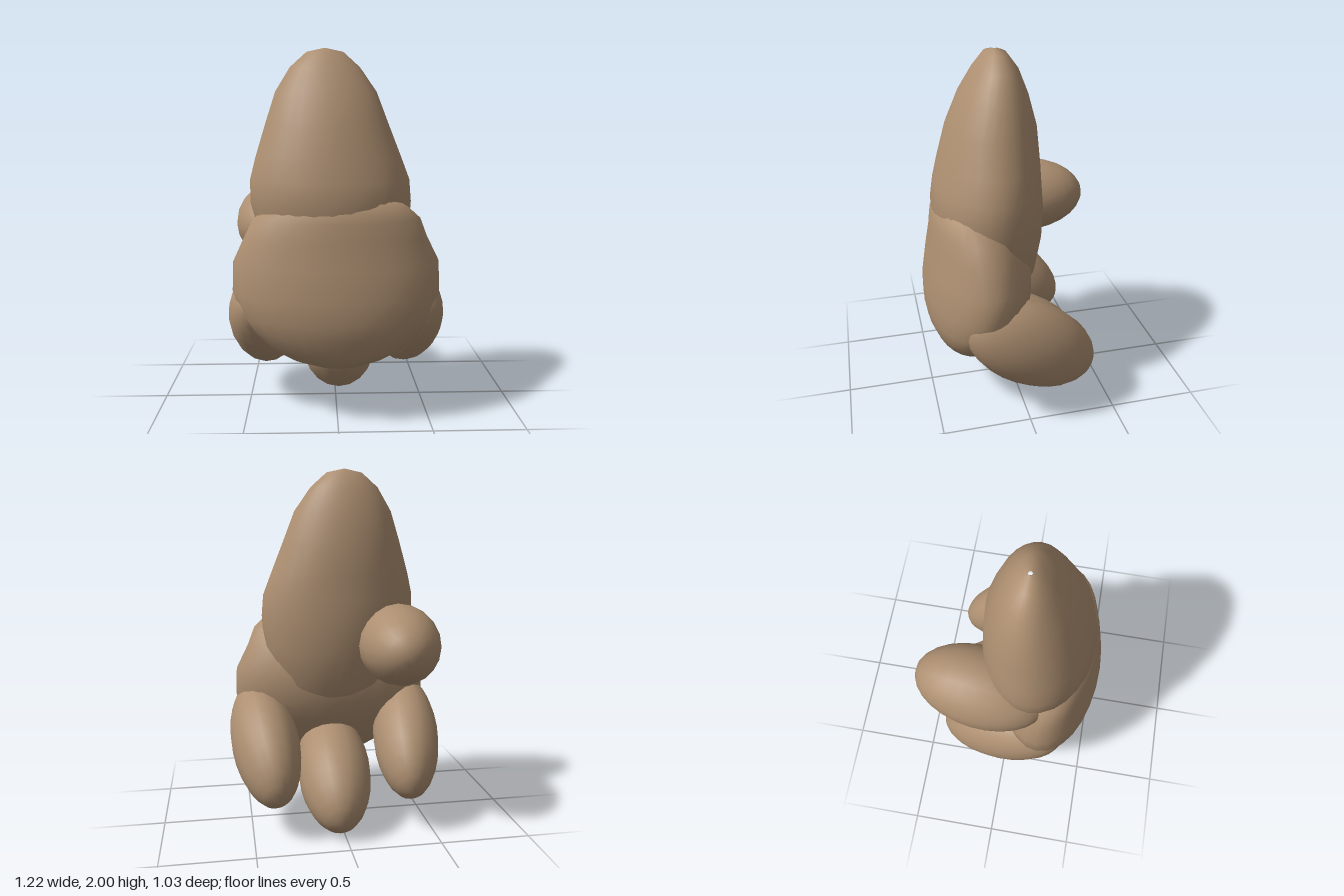
import * as THREE from 'three';

const tan = new THREE.MeshStandardMaterial({ color: 0xad8f71 });
tan.name = 'tan';

// Closed smooth body from stacked ovals: [y, xMin, xMax, zMin, zMax], top to bottom
function loft(name, rows, sides = 28) {
  const pos = [], index = [];
  for (const [y, x0, x1, z0, z1] of rows) {
    for (let i = 0; i < sides; i++) {
      const a = (i / sides) * Math.PI * 2;
      pos.push((x0 + x1) / 2 + Math.sin(a) * (x1 - x0) / 2, y,
        (z0 + z1) / 2 + Math.cos(a) * (z1 - z0) / 2);
    }
  }
  for (let r = 0; r < rows.length - 1; r++) {
    for (let i = 0; i < sides; i++) {
      const a = r * sides + i, b = r * sides + (i + 1) % sides;
      const c = a + sides, d = b + sides;
      index.push(a, c, b, b, c, d);
    }
  }
  const geo = new THREE.BufferGeometry();
  geo.setAttribute('position', new THREE.Float32BufferAttribute(pos, 3));
  geo.setIndex(index);
  geo.computeVertexNormals();
  const mesh = new THREE.Mesh(geo, tan);
  mesh.name = name;
  return mesh;
}

// Egg-shaped lobe whose long axis points along dir
function lobe(name, center, radii, dir) {
  const geo = new THREE.SphereGeometry(1, 20, 14);
  geo.rotateX(Math.PI / 2);
  geo.scale(...radii);
  const mesh = new THREE.Mesh(geo, tan);
  mesh.name = name;
  mesh.position.set(...center);
  mesh.lookAt(center[0] + dir[0], center[1] + dir[1], center[2] + dir[2]);
  return mesh;
}

export function createModel() {
  const model = new THREE.Group();
  model.name = 'lumpyRoot';

  // Tall tapering top
  model.add(loft('upperBody', [
    [2.0, -0.07, -0.05, 0.06, 0.08],
    [1.98, -0.16, 0.04, 0.01, 0.13],
    [1.9, -0.25, 0.13, -0.05, 0.19],
    [1.77, -0.33, 0.22, -0.1, 0.27],
    [1.6, -0.385, 0.285, -0.145, 0.345],
    [1.42, -0.44, 0.355, -0.16, 0.395],
    [1.3, -0.47, 0.4, -0.165, 0.425],
    [1.18, -0.47, 0.41, -0.175, 0.445],
    [1.0, -0.43, 0.4, -0.165, 0.42],
    [0.8, -0.32, 0.33, -0.13, 0.33],
    [0.65, -0.18, 0.2, -0.04, 0.25],
    [0.58, -0.02, 0.02, 0.08, 0.12],
  ]));

  // Wide belly overlapping the top
  model.add(loft('lowerBody', [
    [1.25, -0.02, 0.02, 0.24, 0.28],
    [1.2, -0.32, 0.34, 0.1, 0.42],
    [1.1, -0.45, 0.45, 0.0, 0.455],
    [1.0, -0.5, 0.49, -0.05, 0.465],
    [0.86, -0.565, 0.56, -0.09, 0.49],
    [0.7, -0.57, 0.565, -0.09, 0.515],
    [0.58, -0.53, 0.53, -0.03, 0.515],
    [0.49, -0.455, 0.465, 0.03, 0.5],
    [0.4, -0.36, 0.37, 0.09, 0.465],
    [0.34, -0.25, 0.26, 0.14, 0.42],
    [0.3, -0.12, 0.14, 0.21, 0.36],
    [0.29, -0.01, 0.01, 0.28, 0.3],
  ]));

  // Lower lobes: a mirrored pair and a middle one
  for (const [side, s] of [['left', 1], ['right', -1]]) {
    model.add(lobe(side + 'Lobe', [s * 0.415, 0.47, -0.025], [0.19, 0.24, 0.425], [s * 0.12, 0.54, 0.83]));
  }
  model.add(lobe('middleLobe', [0.02, 0.288, -0.05], [0.21, 0.24, 0.42], [-0.03, 0.45, 0.9]));

  // Single knob high on the back
  model.add(lobe('backKnob', [-0.335, 1.04, -0.14], [0.23, 0.225, 0.38], [-0.12, -0.03, 1]));

  return model;
}
